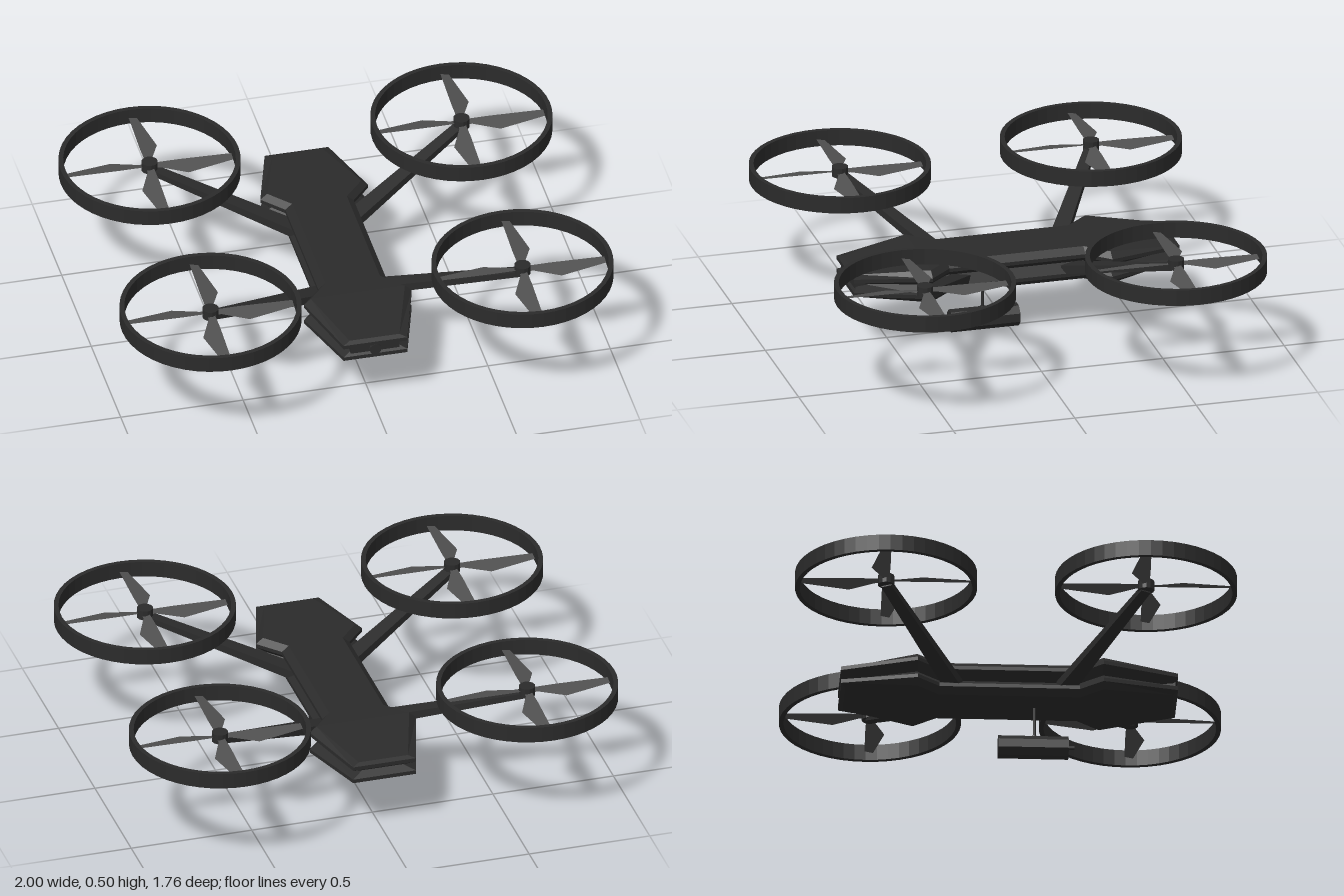
import * as THREE from 'three';

const dark = new THREE.MeshStandardMaterial({ color: 0x2b2b2b, flatShading: true });
const bladeMat = new THREE.MeshStandardMaterial({ color: 0x505050, flatShading: true, side: THREE.DoubleSide });

function add(parent, name, geometry, material = dark) {
  const mesh = new THREE.Mesh(geometry, material);
  mesh.name = name;
  parent.add(mesh);
  return mesh;
}

// Half of the hull, lofted along z; its open notch edge lies on y = 0
function shellGeometry() {
  // z, half width
  const stations = [[-0.67, 0.13], [-0.37, 0.22], [-0.28, 0.14], [0.28, 0.14], [0.37, 0.22], [0.67, 0.13]];
  // inset, height in the middle, height at the ends
  const levels = [[0.045, 0, 0], [0, 0.03, 0.02], [0, 0.045, 0.036], [0.028, 0.069, 0.045]];
  const n = levels.length;
  const loops = stations.map(([z, w], i) => {
    const end = i === 0 || i === stations.length - 1;
    const side = levels.map(([inset, mid, tip]) =>
      [w - inset, end ? tip : mid, end ? z - Math.sign(z) * inset * 0.65 : z]);
    return [...side, ...side.map(([x, y, q]) => [-x, y, q]).reverse()];
  });
  const pos = [];
  const quad = (a, b, c, d) => pos.push(...a, ...b, ...c, ...a, ...c, ...d);
  const m = 2 * n;
  for (let i = 0; i < loops.length - 1; i++) {
    const p = loops[i], q = loops[i + 1];
    for (let k = 0; k < m; k++) quad(p[k], p[(k + 1) % m], q[(k + 1) % m], q[k]);
  }
  // end faces
  const b = loops[0], f = loops[loops.length - 1];
  for (let k = 0; k < n - 1; k++) {
    quad(f[k], f[k + 1], f[m - 2 - k], f[m - 1 - k]);
    quad(b[m - 1 - k], b[m - 2 - k], b[k + 1], b[k]);
  }
  const g = new THREE.BufferGeometry();
  g.setAttribute('position', new THREE.Float32BufferAttribute(pos, 3));
  g.computeVertexNormals();
  return g;
}

// Tapered four-sided beam between two points
function beamGeometry(from, to) {
  const dir = to.clone().sub(from), length = dir.length();
  const y = dir.normalize();
  const x = new THREE.Vector3().crossVectors(y, new THREE.Vector3(0, 1, 0)).normalize();
  const z = new THREE.Vector3().crossVectors(x, y);
  const g = new THREE.CylinderGeometry(0.022 * Math.SQRT2, 0.036 * Math.SQRT2, length, 4);
  g.rotateY(Math.PI / 4).scale(1, 1, 0.5);
  const matrix = new THREE.Matrix4().makeBasis(x, y, z);
  matrix.setPosition(from.clone().add(to).multiplyScalar(0.5));
  return g.applyMatrix4(matrix);
}

// Blade pointing to -z, slightly pitched about its length
function bladeGeometry() {
  const outline = [[-0.012, 0.02], [0.018, 0.02], [0.018, 0.04], [0.066, 0.145], [0.03, 0.335], [-0.005, 0.335], [-0.012, 0.12]];
  const shape = new THREE.Shape(outline.map(([x, y]) => new THREE.Vector2(x, y)));
  return new THREE.ShapeGeometry(shape).rotateX(-Math.PI / 2).rotateZ(-0.2);
}

function createRotor() {
  const rotor = new THREE.Group();
  rotor.name = 'rotor';
  const ring = [[0.343, -0.033], [0.362, -0.033], [0.362, 0.033], [0.343, 0.033], [0.343, -0.033]];
  add(rotor, 'guardRing', new THREE.LatheGeometry(ring.map(([x, y]) => new THREE.Vector2(x, y)), 48));
  add(rotor, 'hub', new THREE.CylinderGeometry(0.033, 0.033, 0.04, 12));
  const blade = bladeGeometry();
  for (let i = 0; i < 4; i++) add(rotor, 'blade', blade, bladeMat).rotation.y = i * Math.PI / 2;
  return rotor;
}

export function createModel() {
  const model = new THREE.Group();
  model.name = 'quadcopter';

  // hull halves
  const shell = shellGeometry();
  add(model, 'upperShell', shell).position.y = 0.283;
  const lower = add(model, 'lowerShell', shell);
  lower.position.y = 0.283;
  lower.rotation.z = Math.PI;

  // nose panel and lens
  add(model, 'nosePanel', new THREE.BoxGeometry(0.2, 0.05, 0.06)).position.set(0, 0.283, 0.63);
  add(model, 'noseLens', new THREE.CylinderGeometry(0.024, 0.024, 0.05, 12).rotateX(Math.PI / 2))
    .position.set(0, 0.283, 0.647);

  // arms and rotors
  for (const sx of [-1, 1]) {
    for (const sz of [-1, 1]) {
      add(model, 'arm', beamGeometry(
        new THREE.Vector3(sx * 0.1, 0.262, sz * 0.22),
        new THREE.Vector3(sx * 0.635, 0.448, sz * 0.515)));
      const rotor = createRotor();
      rotor.position.set(sx * 0.637, 0.463, sz * 0.517);
      model.add(rotor);
    }
  }

  // slung pod
  add(model, 'podRod', new THREE.CylinderGeometry(0.006, 0.006, 0.16, 8)).position.set(0, 0.15, 0.105);
  add(model, 'podRodFoot', new THREE.CylinderGeometry(0.01, 0.012, 0.01, 8)).position.set(0, 0.088, 0.105);
  const podRadius = 0.0425 / Math.cos(Math.PI / 8);
  add(model, 'pod', new THREE.CylinderGeometry(podRadius, podRadius, 0.28, 8).rotateY(Math.PI / 8).rotateX(Math.PI / 2))
    .position.set(0, 0.0425, 0.1);
  add(model, 'podBarrel', new THREE.CylinderGeometry(0.007, 0.007, 0.03, 8).rotateX(Math.PI / 2))
    .position.set(0, 0.0425, 0.25);
  return model;
}
